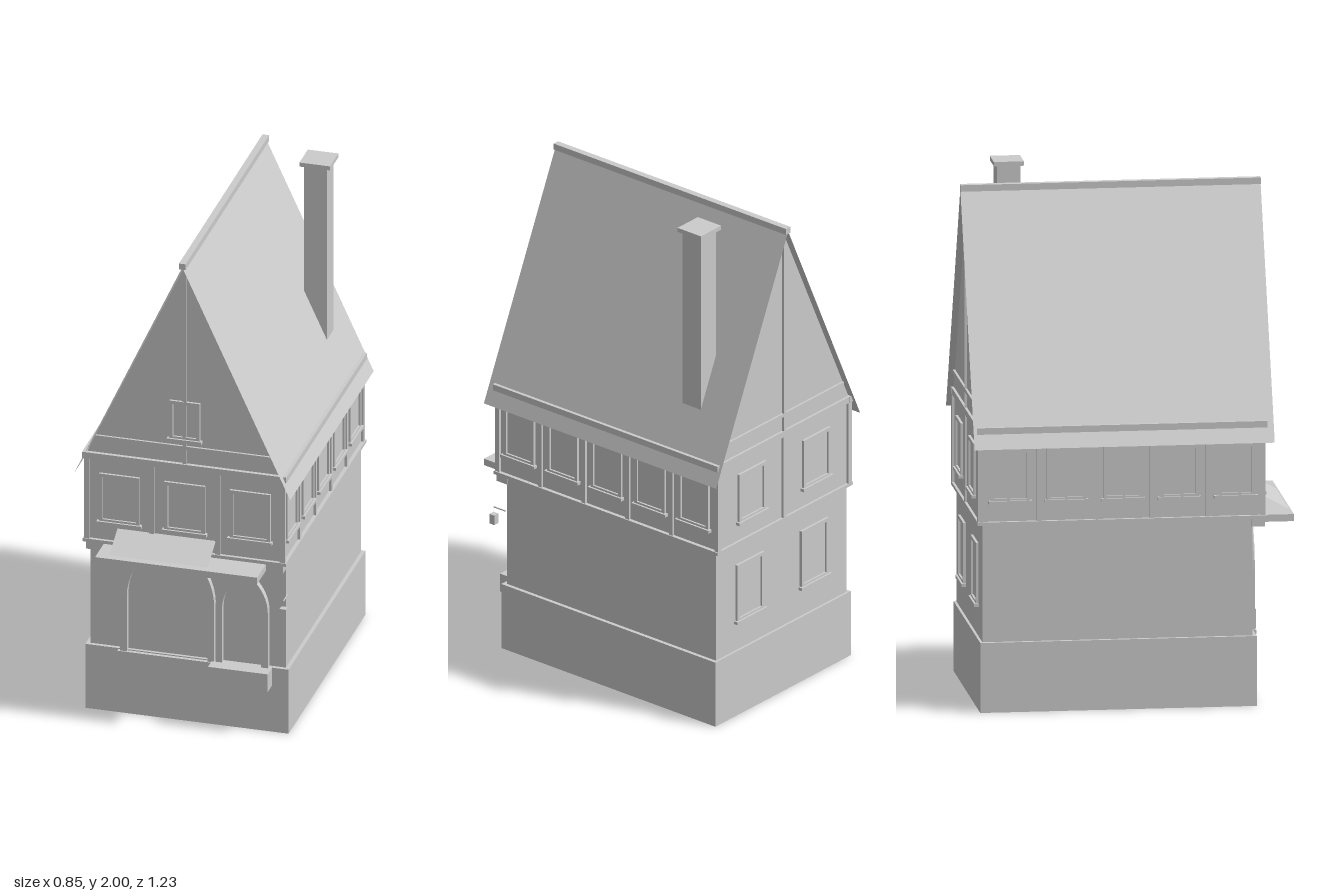
import * as THREE from 'three';

const mat = new THREE.MeshStandardMaterial({ color: 0xcccccc, flatShading: true });
const thin = new THREE.MeshStandardMaterial({ color: 0xcccccc, flatShading: true, side: THREE.DoubleSide });

function add(parent, name, geometry, material = mat) {
  const mesh = new THREE.Mesh(geometry, material);
  mesh.name = name;
  parent.add(mesh);
  return mesh;
}

// Box given by its limits on each axis
function box(parent, name, x0, x1, y0, y1, z0, z1) {
  const mesh = add(parent, name, new THREE.BoxGeometry(x1 - x0, y1 - y0, z1 - z0));
  mesh.position.set((x0 + x1) / 2, (y0 + y1) / 2, (z0 + z1) / 2);
  return mesh;
}

// Thin four-cornered sheet
function sheet(parent, name, a, b, c, d) {
  const g = new THREE.BufferGeometry();
  g.setAttribute('position', new THREE.Float32BufferAttribute([...a, ...b, ...c, ...a, ...c, ...d], 3));
  g.computeVertexNormals();
  return add(parent, name, g, thin);
}

// Framed window with sill, facing +z before it is turned
function makeWindow(parent, name, w, h, x, y, z, turn = 0) {
  const win = new THREE.Group();
  win.name = name;
  const t = 0.014, d = 0.01;
  for (const s of [-1, 1]) {
    const e = s * (w / 2 - t / 2);
    box(win, 'frameSide', e - t / 2, e + t / 2, 0, h, -0.005, d);
  }
  box(win, 'frameTop', -w / 2 + t, w / 2 - t, h - t, h, -0.005, d);
  box(win, 'frameBottom', -w / 2 + t, w / 2 - t, 0, t, -0.005, d);
  box(win, 'sill', -w / 2 - 0.008, w / 2 + 0.008, -0.006, 0.006, -0.005, 0.018);
  box(win, 'pane', -w / 2 + t, w / 2 - t, t, h - t, -0.005, 0.002);
  win.position.set(x, y, z);
  win.rotation.y = turn;
  parent.add(win);
}

// Points of a pointed arch, from bottom left over the apex to bottom right
function archPoints(half, bottom, spring, apex) {
  const h = apex - spring;
  const r = (h * h + half * half) / (2 * half);
  const end = Math.asin(h / r);
  const left = [new THREE.Vector2(-half, bottom)];
  for (let i = 0; i <= 10; i++) {
    const a = (end * i) / 10;
    left.push(new THREE.Vector2(-half + r - r * Math.cos(a), spring + r * Math.sin(a)));
  }
  const right = left.slice(0, -1).reverse().map(p => new THREE.Vector2(-p.x, p.y));
  return left.concat(right);
}

function makeArch(parent, name, x, half, spring, apex, t) {
  const arch = new THREE.Group();
  arch.name = name;
  const outer = archPoints(half, 0.265, spring, apex);
  const inner = archPoints(half - t, 0.265, spring, apex - t * 1.2);
  const frame = new THREE.Shape(outer.concat(inner.slice().reverse()));
  add(arch, 'archFrame', new THREE.ExtrudeGeometry(frame, { depth: 0.03, bevelEnabled: false })).position.z = 0.445;
  const panel = new THREE.Shape(inner);
  add(arch, 'archPanel', new THREE.ExtrudeGeometry(panel, { depth: 0.008, bevelEnabled: false })).position.z = 0.445;
  arch.position.x = x;
  parent.add(arch);
}

export function createModel() {
  const house = new THREE.Group();
  house.name = 'timberHouse';

  // Plinth, open underneath
  const plinth = new THREE.BoxGeometry(0.8, 0.27, 1.055).toNonIndexed();
  const keep = new THREE.BufferGeometry();
  const all = Array.from(plinth.attributes.position.array);
  all.splice(18 * 3, 18);
  keep.setAttribute('position', new THREE.Float32BufferAttribute(all, 3));
  keep.computeVertexNormals();
  add(house, 'plinth', keep, thin).position.set(0, 0.135, -0.0625);

  // Ground floor
  box(house, 'groundFloor', -0.385, 0.385, 0.26, 0.73, -0.58, 0.45);
  box(house, 'doorStep', 0.1, 0.335, 0.195, 0.27, 0.42, 0.525);
  box(house, 'shopSill', -0.27, 0.11, 0.25, 0.266, 0.42, 0.48);
  makeArch(house, 'shopArch', -0.075, 0.185, 0.5, 0.762, 0.026);
  makeArch(house, 'doorArch', 0.218, 0.103, 0.5, 0.667, 0.026);

  // Canopy and sloping awning
  box(house, 'canopy', -0.318, 0.32, 0.693, 0.72, 0.46, 0.617);
  sheet(house, 'awning', [-0.265, 0.73, 0.605], [0.122, 0.73, 0.605], [0.122, 0.79, 0.495], [-0.265, 0.79, 0.495]);

  // Lantern on its bracket
  box(house, 'lanternArm', 0.39, 0.394, 0.577, 0.581, 0.45, 0.508);
  box(house, 'lantern', 0.38, 0.405, 0.51, 0.55, 0.495, 0.52);

  // Upper floor with timber framing
  box(house, 'upperFloor', -0.385, 0.385, 0.72, 1.1, -0.59, 0.49);
  box(house, 'jettyBeam', -0.388, 0.388, 0.69, 0.725, 0.445, 0.498);
  for (const [z0, z1] of [[0.48, 0.503], [-0.6, -0.58]]) {
    box(house, 'sillBeam', -0.4, 0.4, 0.722, 0.735, z0, z1);
    box(house, 'topBeam', -0.4, 0.4, 1.075, 1.1, z0, z1 + Math.sign(z1) * 0.002);
  }
  for (const x of [-0.384, -0.13, 0.13, 0.384]) box(house, 'frontPost', x - 0.01, x + 0.01, 0.73, 1.08, 0.48, 0.499);
  for (const x of [-0.384, 0, 0.384]) box(house, 'backPost', x - 0.01, x + 0.01, 0.73, 1.08, -0.599, -0.58);
  for (const s of [-1, 1]) {
    box(house, 'sideSillBeam', s * 0.39 - 0.01, s * 0.39 + 0.01, 0.722, 0.735, -0.58, 0.48);
    box(house, 'wallPlate', s * 0.39 - 0.012, s * 0.39 + 0.012, 1.075, 1.1, -0.602, 0.505);
    for (const z of [0.49, 0.28, 0.065, -0.15, -0.365, -0.59])
      box(house, 'sidePost', s * 0.385 - 0.01, s * 0.385 + 0.01, 0.73, 1.08, z - 0.009, z + 0.009);
    for (const z of [0.385, 0.17, -0.045, -0.26, -0.475])
      makeWindow(house, 'sideWindow', 0.15, 0.205, s * 0.385, 0.81, z, s * Math.PI / 2);
    makeWindow(house, 'upperBackWindow', 0.16, 0.205, s * 0.19, 0.81, -0.59, Math.PI);
    makeWindow(house, 'lowerBackWindow', 0.16, 0.24, s * 0.19, 0.39, -0.58, Math.PI);
  }
  for (const x of [-0.257, 0, 0.257]) makeWindow(house, 'frontWindow', 0.16, 0.205, x, 0.81, 0.49);

  // Gables with a king post and a tie beam
  const tri = new THREE.Shape([new THREE.Vector2(-0.385, 1.1), new THREE.Vector2(0.385, 1.1), new THREE.Vector2(0, 1.933)]);
  add(house, 'gables', new THREE.ExtrudeGeometry(tri, { depth: 1.08, bevelEnabled: false })).position.z = -0.59;
  for (const [z0, z1] of [[0.48, 0.499], [-0.599, -0.58]]) {
    box(house, 'kingPost', -0.007, 0.007, 1.1, 1.92, z0, z1);
    box(house, 'tieBeam', -0.35, 0.35, 1.16, 1.174, z0, z1);
  }
  makeWindow(house, 'gableWindow', 0.12, 0.163, 0, 1.198, 0.49);

  // Roof sheets and ridge
  for (const s of [-1, 1])
    sheet(house, 'roofSlope', [0, 1.945, 0.53 * s], [s * 0.425, 1.02, 0.53 * s], [s * 0.425, 1.02, -0.615 * s], [0, 1.945, -0.615 * s])
      .geometry.attributes.position.array.forEach((v, i, a) => { if (i % 3 === 2) a[i] = v > 0 ? 0.53 : -0.615; });
  box(house, 'ridge', -0.013, 0.013, 1.935, 1.96, -0.615, 0.53);

  // Chimney
  box(house, 'chimney', 0.225, 0.315, 1.1, 1.985, -0.447, -0.357);
  box(house, 'chimneyCap', 0.21, 0.33, 1.983, 2, -0.46, -0.345);

  return house;
}
